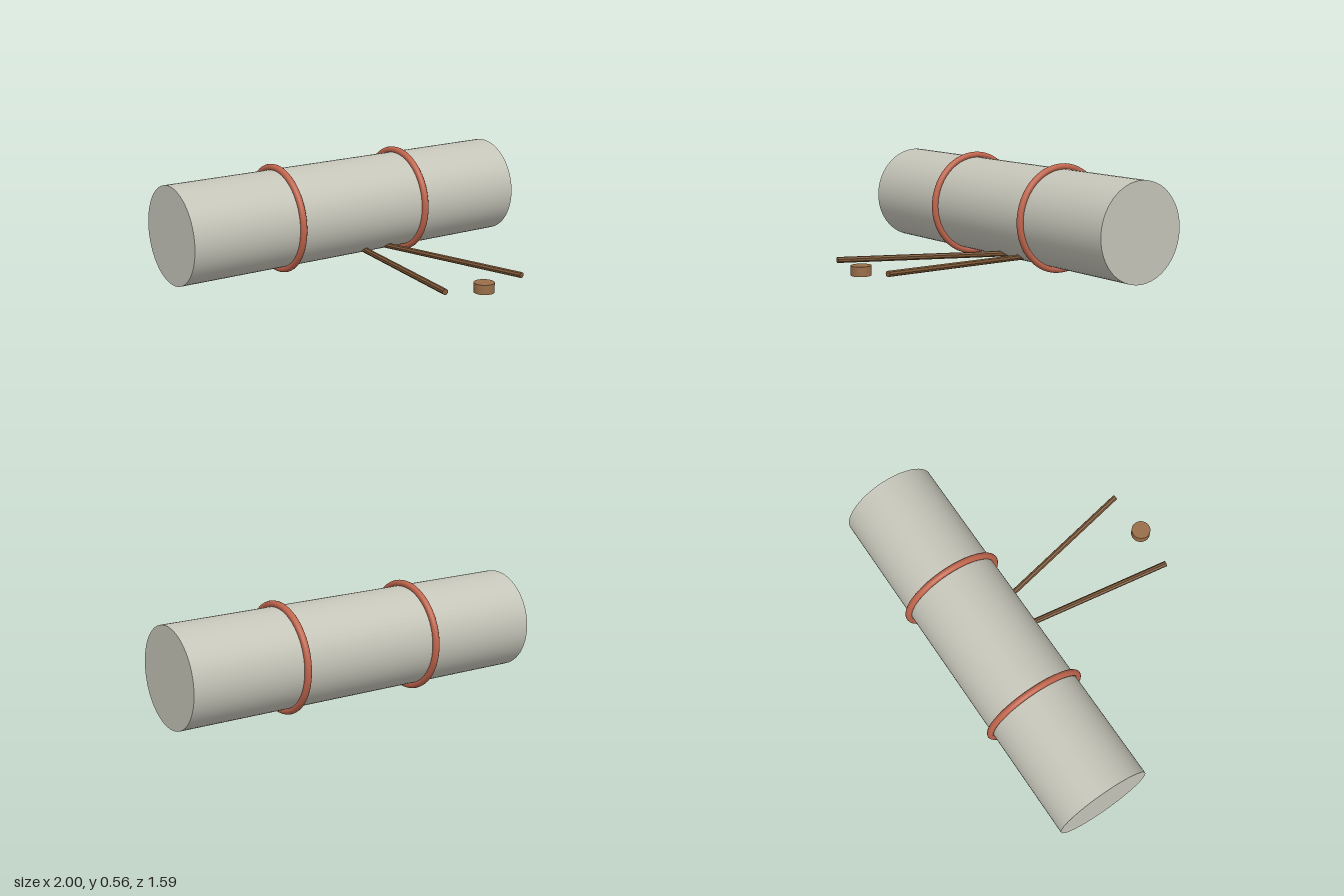
import * as THREE from 'three';

const paint = (name, color, flatShading = false) => {
  const m = new THREE.MeshStandardMaterial({ color });
  m.name = name;
  m.flatShading = flatShading;
  return m;
};

export function createModel() {
  const model = new THREE.Group();
  model.name = 'bandedDrum';
  const stone = paint('pale grey', 0xc6c5b9);
  const copper = paint('copper red', 0xc0654d);
  const darkWood = paint('dark wood', 0x7d5837, true);
  const lightWood = paint('light wood', 0x996e48);

  const add = (parent, name, geometry, material) => {
    const mesh = new THREE.Mesh(geometry, material);
    mesh.name = name;
    parent.add(mesh);
    return mesh;
  };

  // Long drum lying on its side, turned 15 degrees
  const drum = new THREE.Group();
  drum.name = 'drum';
  drum.position.set(0, 0.28, -0.308);
  drum.rotation.y = -Math.PI / 12;
  model.add(drum);
  add(drum, 'drumBody', new THREE.CylinderGeometry(0.25, 0.25, 1.937, 64).rotateZ(Math.PI / 2), stone);

  // Two hoops around the drum
  for (const side of [-1, 1]) {
    const hoop = add(drum, side < 0 ? 'rightHoop' : 'leftHoop',
      new THREE.TorusGeometry(0.262, 0.017, 12, 64).rotateY(Math.PI / 2), copper);
    hoop.position.x = side * 0.373;
  }

  // Slender sticks running from the front into the drum
  const addStick = (name, from, to) => {
    const a = new THREE.Vector3(...from), b = new THREE.Vector3(...to);
    const stick = add(model, name, new THREE.CylinderGeometry(0.015, 0.015, a.distanceTo(b), 8), darkWood);
    stick.position.copy(a).add(b).multiplyScalar(0.5);
    stick.quaternion.setFromUnitVectors(new THREE.Vector3(0, 1, 0), b.sub(a).normalize());
  };
  addStick('rightStick', [-0.35, 0.108, 0.673], [0.051, 0.07, -0.19]);
  addStick('leftStick', [0.097, 0.108, 0.793], [0.178, 0.07, -0.19]);

  // Small round disc between the stick ends
  add(model, 'disc', new THREE.CylinderGeometry(0.05, 0.05, 0.048, 32), lightWood).position.set(-0.13, 0.091, 0.735);

  return model;
}
